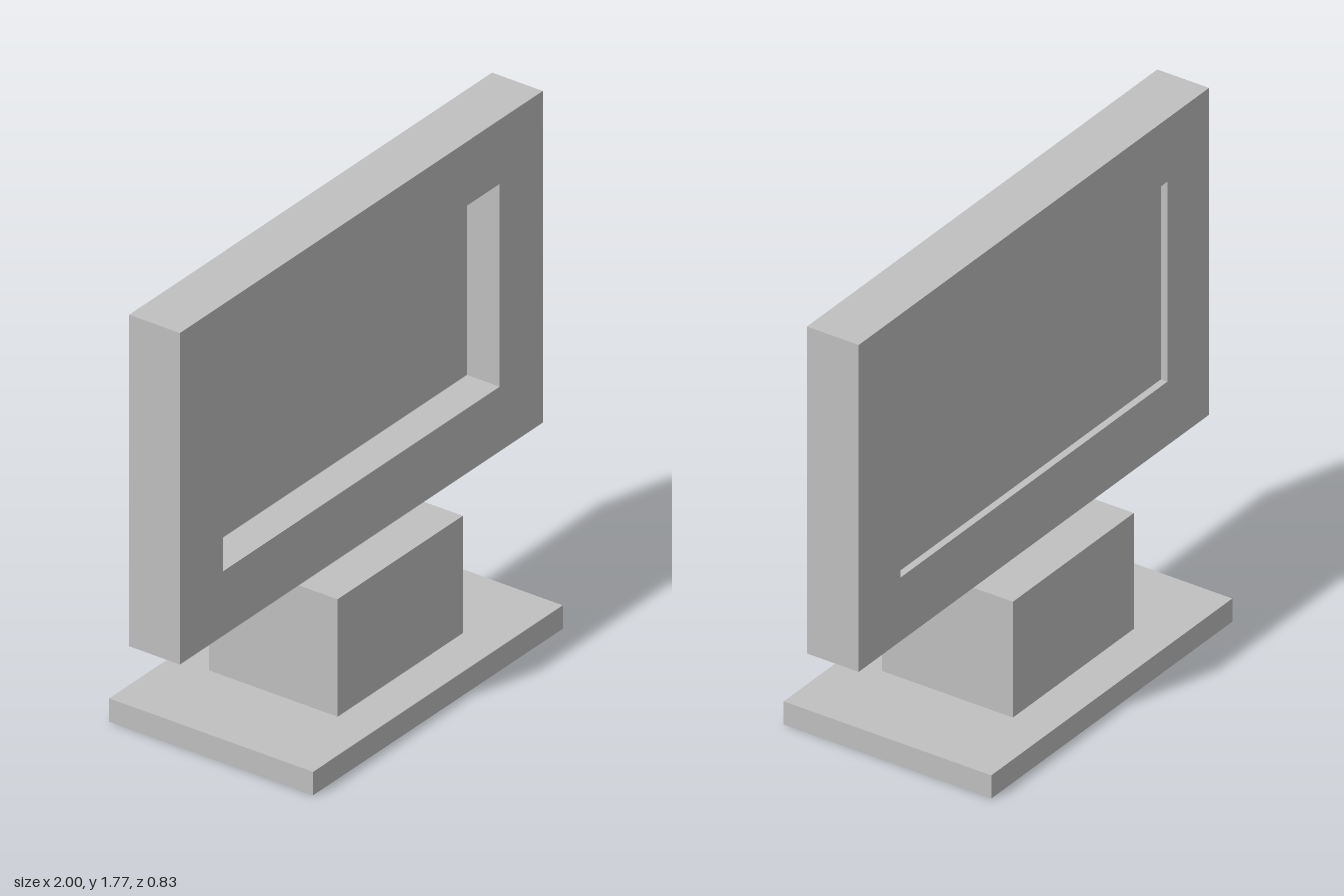
import * as THREE from 'three';

export function createModel() {
  const model = new THREE.Group();
  const grey = new THREE.MeshStandardMaterial({ color: 0xc0c0c0 });
  grey.name = 'lightGrey';

  const add = (name, geometry, x, y, z) => {
    const mesh = new THREE.Mesh(geometry, grey);
    mesh.name = name;
    mesh.position.set(x, y, z);
    model.add(mesh);
  };
  // Box given by its width, bottom, top, back and front
  const slab = (name, w, y0, y1, z0, z1) =>
    add(name, new THREE.BoxGeometry(w, y1 - y0, z1 - z0), 0, (y0 + y1) / 2, (z0 + z1) / 2);

  // Foot and block-shaped neck
  slab('base', 1.376, 0, 0.088, -0.413, 0.413);
  slab('neck', 0.69, 0.088, 0.528, -0.26, 0.26);

  // Thick frame with a rectangular opening
  const rect = (Type, x, y0, y1) => new Type([
    new THREE.Vector2(-x, y0), new THREE.Vector2(x, y0),
    new THREE.Vector2(x, y1), new THREE.Vector2(-x, y1),
  ]);
  const outline = rect(THREE.Shape, 1, 0.528, 1.77);
  outline.holes.push(rect(THREE.Path, 0.762, 0.77, 1.53));
  const frame = new THREE.ExtrudeGeometry(outline, { depth: 0.206, bevelEnabled: false });
  add('frame', frame, 0, 0, -0.103);

  // Screen set deep from the front and shallow from the back
  slab('screen', 1.524, 0.77, 1.53, -0.077, -0.03);

  return model;
}
